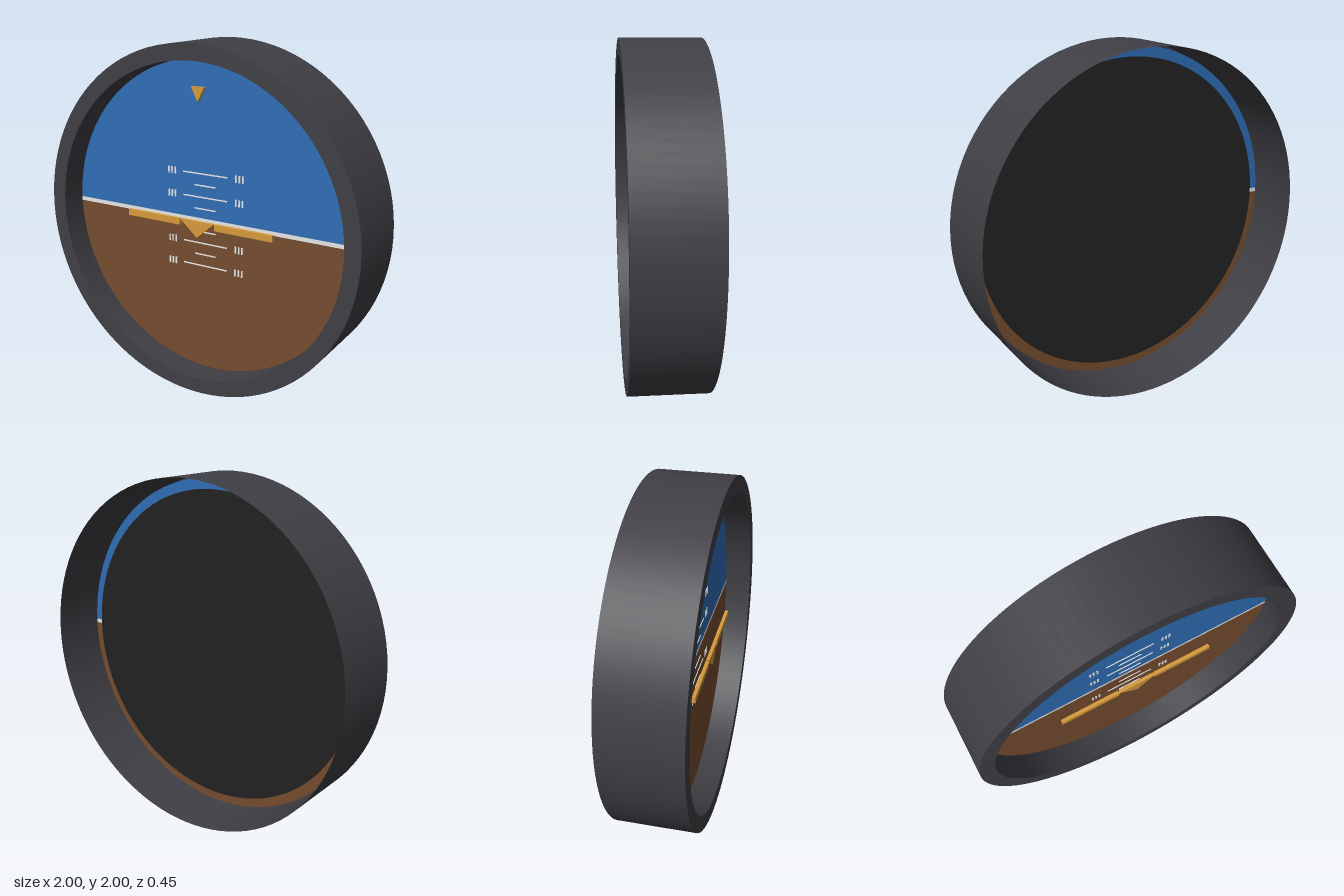
import * as THREE from 'three';

const mat = (name, color, side = THREE.FrontSide) => {
  const m = new THREE.MeshStandardMaterial({ color, side });
  m.name = name;
  return m;
};

export function createModel() {
  const housing = mat('charcoal housing', 0x403f45, THREE.DoubleSide);
  const backing = mat('black backing', 0x222222, THREE.DoubleSide);
  const blue = mat('sky blue', 0x2f6eb6, THREE.DoubleSide);
  const brown = mat('earth brown', 0x754d2f, THREE.DoubleSide);
  const white = mat('marking white', 0xe8e8e8, THREE.DoubleSide);
  const amber = mat('amber', 0xd79a3a);

  const model = new THREE.Group();
  model.name = 'attitudeIndicator';
  const dial = new THREE.Group();
  dial.name = 'dial';
  dial.position.y = 1;
  model.add(dial);

  const add = (name, geometry, material, x = 0, y = 0, z = 0) => {
    const mesh = new THREE.Mesh(geometry, material);
    mesh.name = name;
    mesh.position.set(x, y, z);
    dial.add(mesh);
    return mesh;
  };

  const DEPTH = 0.225, APERTURE = 0.91, FACE_Z = 0.068, FACE_R = 0.975;

  // Thin open shell, front bezel and the recessed wall behind it
  const tube = (r, z0, z1) =>
    new THREE.CylinderGeometry(r, r, z1 - z0, 96, 1, true)
      .rotateX(Math.PI / 2).translate(0, 0, (z0 + z1) / 2);
  add('outerShell', tube(1, -DEPTH, DEPTH), housing);
  add('bezelRing', new THREE.RingGeometry(APERTURE, 1, 96), housing, 0, 0, DEPTH);
  add('recessWall', tube(APERTURE, FACE_Z, DEPTH), housing);

  // Face disc cut into sky, horizon and ground
  const a = Math.asin(0.012 / FACE_R);
  const sky = new THREE.Shape().absarc(0, 0, FACE_R, a, Math.PI - a);
  const skyFace = new THREE.ShapeGeometry(sky, 64);
  add('skyFace', skyFace, blue, 0, 0, FACE_Z);
  add('groundFace', skyFace.clone().rotateZ(Math.PI), brown, 0, 0, FACE_Z);
  add('horizonLine', new THREE.PlaneGeometry(2 * FACE_R, 0.024), white, 0, 0, FACE_Z);
  add('backingDisc', new THREE.CircleGeometry(0.915, 96).rotateY(Math.PI), backing, 0, 0, 0.05);

  // Pitch ladder: alternating short and long bars with plain stroke marks
  for (const s of [-1, 1]) {
    for (let i = 1; i <= 4; i++) {
      const y = s * 0.068 * i;
      const long = i % 2 === 0;
      add('pitchBar', new THREE.BoxGeometry(long ? 0.29 : 0.14, 0.007, 0.004), white, 0, y, FACE_Z + 0.004);
      if (!long) continue;
      for (const side of [-1, 1]) {
        for (const dx of [0.2, 0.222, 0.243]) {
          add('scaleTick', new THREE.BoxGeometry(0.01, 0.04, 0.004), white, side * dx, y, FACE_Z + 0.004);
        }
      }
    }
  }

  // Fixed aircraft reference: two wing bars and a centre wedge
  const wedge = (halfWidth, top, tip, depth) => {
    const shape = new THREE.Shape([
      new THREE.Vector2(-halfWidth, top),
      new THREE.Vector2(0, tip),
      new THREE.Vector2(halfWidth, top),
    ]);
    return new THREE.ExtrudeGeometry(shape, { depth, bevelEnabled: false });
  };
  for (const side of [-1, 1]) {
    add('wingBar', new THREE.BoxGeometry(0.36, 0.036, 0.02), amber, side * 0.295, 0.002, 0.15);
  }
  add('centreWedge', wedge(0.11, 0.02, -0.075, 0.02), amber, 0, 0, 0.14);

  // Bank pointer near the top of the face
  add('bankPointer', wedge(0.042, 0.765, 0.685, 0.02), amber, 0, 0, 0.125);

  return model;
}
